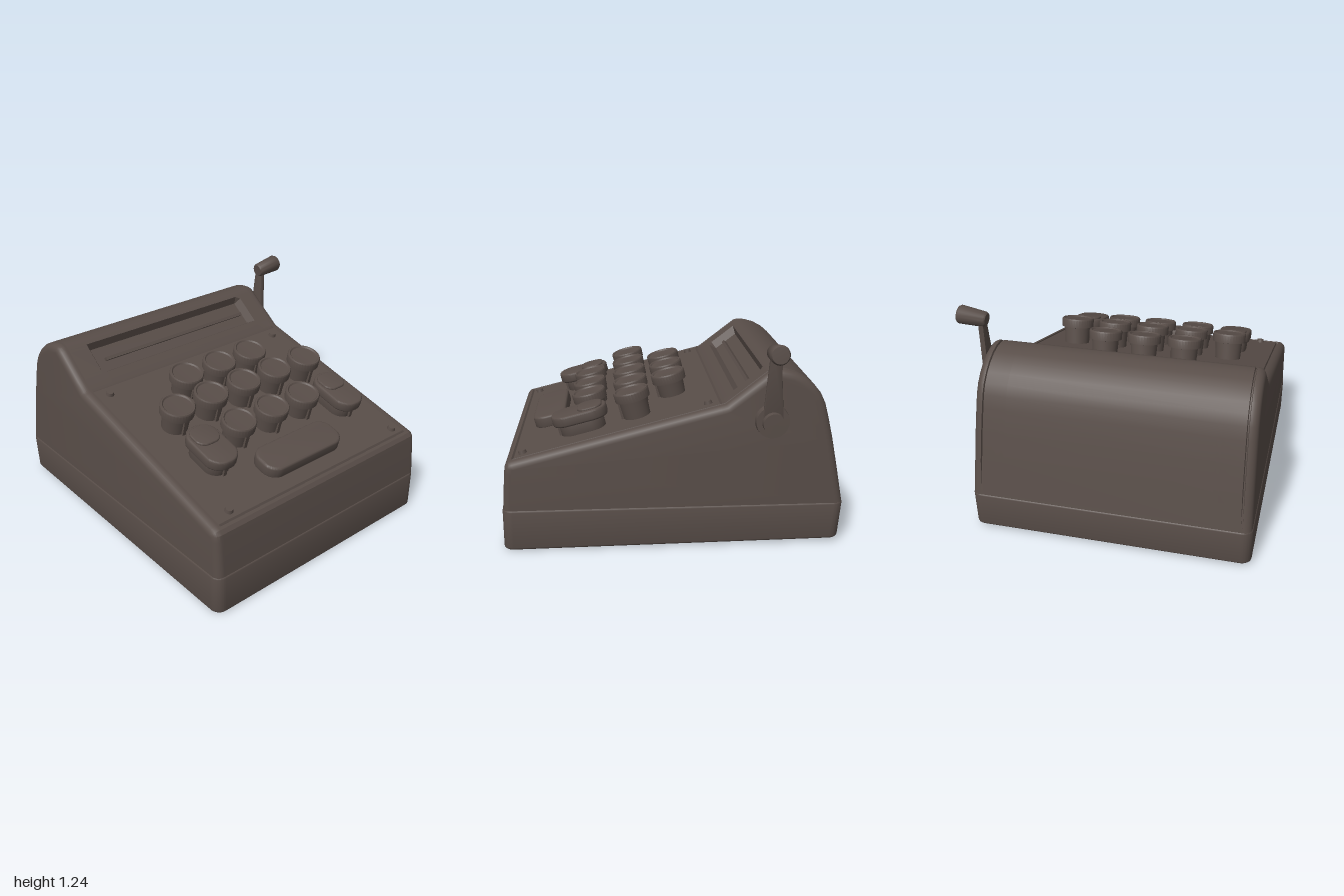
import * as THREE from 'three';
import { toCreasedNormals } from 'three/addons/utils/BufferGeometryUtils.js';

const CX = -0.095; // middle of the casing
const TILT = Math.atan(0.253); // slope of the key panel
const panelY = (z) => 0.53 + 0.253 * (0.97 - z);

const casing = new THREE.MeshStandardMaterial({ color: 0x584d48 });
casing.name = 'dark brown casing';

function add(parent, geo, name, x = 0, y = 0, z = 0) {
  const m = new THREE.Mesh(geo, casing);
  m.name = name;
  m.position.set(x, y, z);
  parent.add(m);
  return m;
}

// rounded rectangular slab standing on y = 0 with bevelled edges
function slab(w, l, r, h, b) {
  const s = new THREE.Shape(), x = w / 2, y = l / 2;
  s.moveTo(-x + r, -y).lineTo(x - r, -y).absarc(x - r, -y + r, r, -Math.PI / 2, 0, false);
  s.lineTo(x, y - r).absarc(x - r, y - r, r, 0, Math.PI / 2, false);
  s.lineTo(-x + r, y).absarc(-x + r, y - r, r, Math.PI / 2, Math.PI, false);
  s.lineTo(-x, -y + r).absarc(-x + r, -y + r, r, Math.PI, Math.PI * 1.5, false);
  const g = new THREE.ExtrudeGeometry(s, {
    depth: h - 2 * b, bevelThickness: b, bevelSize: b, bevelOffset: -b, bevelSegments: 3, curveSegments: 8,
  });
  g.translate(0, 0, b).rotateX(-Math.PI / 2);
  return toCreasedNormals(g, 0.6);
}

// upper casing: side profile lofted across x, with a window recess and seams
function casingGeometry() {
  const slope = (t, kind = 0) => [-0.295 - 0.26 * t, 0.85 + 0.2 * t, kind];
  // [z, y, kind]: kind 1 sinks into the window, kind 2 into a cross seam
  const profile = [
    [0.995, 0.245, 0], [0.978, 0.47, 0], [0.972, 0.51, 0], [0.955, 0.532, 0],
    [0.937, panelY(0.937), 0], [0.93, panelY(0.93), 2], [0.922, panelY(0.922), 0],
    [-0.265, panelY(-0.265), 0], [-0.28, panelY(-0.28), 2], slope(0),
    slope(0.23), slope(0.3, 1), slope(0.82, 1), slope(0.89), slope(0.98),
    [-0.58, 1.053, 0], [-0.63, 1.049, 0], [-0.69, 1.032, 0], [-0.75, 1.0, 0], [-0.8, 0.957, 0],
    [-0.842, 0.905, 0], [-0.87, 0.845, 0], [-0.89, 0.77, 0], [-0.92, 0.64, 0],
    [-0.955, 0.46, 0], [-0.99, 0.27, 0], [-0.995, 0.245, 0],
  ];
  const n = profile.length, last = n - 1;
  const normals = profile.map((p, i) => {
    const a = profile[Math.max(i - 1, 0)], b = profile[Math.min(i + 1, last)];
    return new THREE.Vector2(b[1] - a[1], a[0] - b[0]).normalize();
  });
  // stations: [x, inset, window depth, cross seam depth, long seam depth]
  const stations = [], r = 0.045, x0 = -0.915, x1 = 0.725;
  const ends = [0, 1, 2, 3, 4, 5].map((k) => {
    const a = (k / 5) * Math.PI / 2;
    return [r * (1 - Math.cos(a)), r * (1 - Math.sin(a))];
  });
  ends.forEach(([d, inset]) => stations.push([x0 + d, inset, 0, 0, 0]));
  const seam = (x) => [[0, 0], [0.004, 0.012], [0.01, 0.012], [0.014, 0]]
    .forEach(([d, s]) => stations.push([x + d, 0, 0, 0, s]));
  seam(-0.865);
  stations.push([-0.85, 0, 0, 0.01, 0], [-0.72, 0, 0, 0.01, 0], [-0.69, 0, 0.05, 0.01, 0],
    [0.53, 0, 0.05, 0.01, 0], [0.56, 0, 0, 0.01, 0], [0.66, 0, 0, 0.01, 0]);
  seam(0.661);
  ends.reverse().forEach(([d, inset]) => stations.push([x1 - d, inset, 0, 0, 0]));

  const pos = [], index = [];
  for (const [x, inset, win, cross, long] of stations) {
    profile.forEach(([z, y, kind], i) => {
      const d = inset + (kind === 1 ? win : kind === 2 ? cross : 0) + (i > 4 && i < 25 ? long : 0);
      const py = Math.max(0.245, y - normals[i].y * d);
      pos.push(CX + (x - CX) * (1 - 0.028 * (py - 0.245)), py, z - normals[i].x * d);
    });
  }
  for (let s = 0; s < stations.length - 1; s++) {
    for (let i = 0; i < n; i++) {
      const j = (i + 1) % n, a = s * n + i, c = s * n + j;
      index.push(a, a + n, c, c, a + n, c + n);
    }
  }
  // flat side walls
  const outline = profile.map((p, i) => new THREE.Vector2(pos[i * 3 + 2], pos[i * 3 + 1]));
  const far = (stations.length - 1) * n;
  THREE.ShapeUtils.triangulateShape(outline, []).forEach(([a, b, c]) => {
    index.push(a, b, c, far + a, far + c, far + b);
  });
  const g = new THREE.BufferGeometry();
  g.setAttribute('position', new THREE.Float32BufferAttribute(pos, 3));
  g.setIndex(index);
  return toCreasedNormals(g, 0.5);
}

// group whose y axis is square to the key panel; its top at height h lands on z
function onPanel(parent, name, x, z, h) {
  const g = new THREE.Group(), zb = z - Math.sin(TILT) * h;
  g.name = name;
  g.position.set(x, panelY(zb), zb);
  g.rotation.x = TILT;
  parent.add(g);
  return g;
}

function roundKey(parent, x, z, h) {
  const g = onPanel(parent, 'roundKey', x, z, h);
  const pts = [[0.08, -0.01], [0.086, h - 0.06], [0.105, h - 0.056], [0.106, h - 0.008], [0.101, h],
    [0.093, h], [0.086, h - 0.008], [0, h - 0.012]].map(([a, b]) => new THREE.Vector2(a, b));
  add(g, toCreasedNormals(new THREE.LatheGeometry(pts, 36), 0.6), 'keyCap');
  add(g, new THREE.BoxGeometry(0.022, h - 0.05, 0.02), 'keyRib', 0, (h - 0.06) / 2, 0.085);
}

function longKey(parent, x) {
  const h = 0.13, g = onPanel(parent, 'longKey', x, 0.555, h);
  add(g, slab(0.21, 0.335, 0.095, 0.065, 0.012), 'longKeyCap', 0, h - 0.065, 0);
  add(g, slab(0.165, 0.15, 0.06, 0.02, 0.007), 'raisedPad', 0, h - 0.008, -0.07);
  add(g, slab(0.165, 0.27, 0.08, 0.085, 0.004), 'longKeyStem', 0, -0.01, 0);
  add(g, new THREE.BoxGeometry(0.022, 0.075, 0.025), 'keyRib', 0, 0.035, 0.135);
}

function crank(parent) {
  const g = new THREE.Group();
  g.name = 'crank';
  g.position.set(0.7, 0.76, -0.555);
  parent.add(g);
  const disc = (r, w, x, name) => {
    const geo = new THREE.CylinderGeometry(r * 0.95, r, w, 32).rotateZ(-Math.PI / 2);
    add(g, geo, name, x + w / 2);
  };
  disc(0.1, 0.055, 0, 'hubPlate');
  disc(0.065, 0.1, 0, 'hubBoss');
  // tapered arm
  const s = new THREE.Shape();
  s.moveTo(-0.06, 0).lineTo(0.06, 0).lineTo(0.028, 0.4);
  s.absarc(0, 0.41, 0.03, 0, Math.PI, false).lineTo(-0.06, 0);
  const arm = new THREE.ExtrudeGeometry(s, {
    depth: 0.02, bevelThickness: 0.007, bevelSize: 0.007, bevelOffset: -0.007, bevelSegments: 2,
  }).rotateY(Math.PI / 2);
  add(g, toCreasedNormals(arm, 0.6), 'crankArm', 0.035).rotation.z = -0.07;
  // handle with softened ends
  const pts = [[0, -0.088], [0.038, -0.088], [0.046, -0.078], [0.056, 0.075], [0.048, 0.088], [0, 0.09]]
    .map(([a, b]) => new THREE.Vector2(a, b));
  const knob = add(g, toCreasedNormals(new THREE.LatheGeometry(pts, 28), 0.7), 'crankHandle', 0.13, 0.415, 0.005);
  knob.rotation.z = -Math.PI / 2 + 0.12;
}

export function createModel() {
  const model = new THREE.Group();
  model.name = 'addingMachine';

  // base tray, its underside rising a little to the back
  const base = slab(1.65, 2, 0.06, 0.25, 0.015), p = base.attributes.position;
  for (let i = 0; i < p.count; i++) {
    const k = 1 - p.getY(i) / 0.25;
    p.setY(i, p.getY(i) + 0.02 * k * (1 - p.getZ(i)) / 2);
    if (p.getZ(i) < 0) p.setZ(i, p.getZ(i) * (1 - 0.02 * k));
  }
  add(model, base, 'baseTray', CX, 0, 0);
  add(model, casingGeometry(), 'upperCasing');

  // thin bar in the display recess
  const bar = add(model, new THREE.BoxGeometry(1.12, 0.03, 0.02), 'displayBar', -0.06, 0.925, -0.455);
  bar.rotation.x = Math.atan2(0.26, 0.2);

  // keys
  for (const x of [-0.335, -0.075, 0.18]) {
    roundKey(model, x, 0.01, 0.145);
    roundKey(model, x, 0.5, 0.155);
  }
  for (const x of [-0.585, -0.335, -0.075, 0.18, 0.44]) roundKey(model, x, 0.245, 0.165);
  longKey(model, -0.585);
  longKey(model, 0.44);
  const wide = onPanel(model, 'wideBar', -0.09, 0.75, 0.07);
  add(wide, slab(0.59, 0.21, 0.085, 0.08, 0.015), 'wideBarCap', 0, -0.01, 0);

  // panel screws
  for (const [x, z] of [[-0.76, -0.2], [0.575, -0.2], [-0.735, 0.88], [0.595, 0.88]]) {
    const g = onPanel(model, 'screw', x, z, 0.015);
    add(g, new THREE.CylinderGeometry(0.021, 0.028, 0.03, 16), 'screwHead', 0, 0.005, 0);
  }

  crank(model);
  return model;
}
